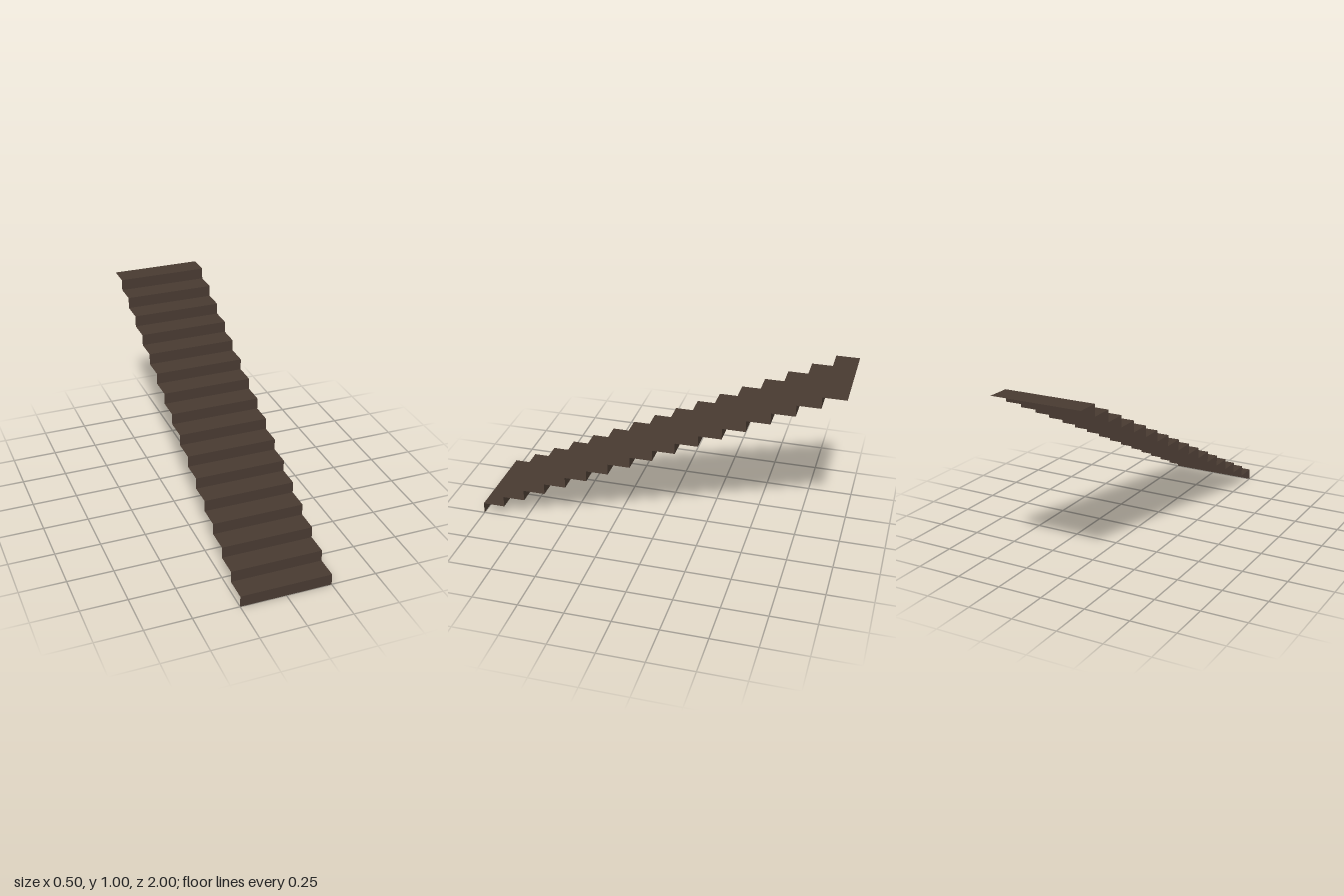
import * as THREE from 'three';

const STEPS = 16, WIDTH = 0.5, HEIGHT = 1, LENGTH = 2;

export function createModel() {
  const stairs = new THREE.Group();
  stairs.name = 'staircase';

  const darkWood = new THREE.MeshStandardMaterial({ color: 0x483a31, side: THREE.DoubleSide });
  darkWood.name = 'dark wood';

  const rise = HEIGHT / STEPS, run = LENGTH / STEPS;
  const riserGeometry = new THREE.PlaneGeometry(WIDTH, rise);
  const treadGeometry = new THREE.PlaneGeometry(WIDTH, run).rotateX(-Math.PI / 2);

  // Each step is a thin upright riser with a thin flat tread behind it
  for (let i = 0; i < STEPS; i++) {
    const step = new THREE.Group();
    step.name = `step${i + 1}`;
    step.position.set(0, i * rise, LENGTH / 2 - i * run);

    const riser = new THREE.Mesh(riserGeometry, darkWood);
    riser.name = 'riser';
    riser.position.y = rise / 2;

    const tread = new THREE.Mesh(treadGeometry, darkWood);
    tread.name = 'tread';
    tread.position.set(0, rise, -run / 2);

    step.add(riser, tread);
    stairs.add(step);
  }
  return stairs;
}
